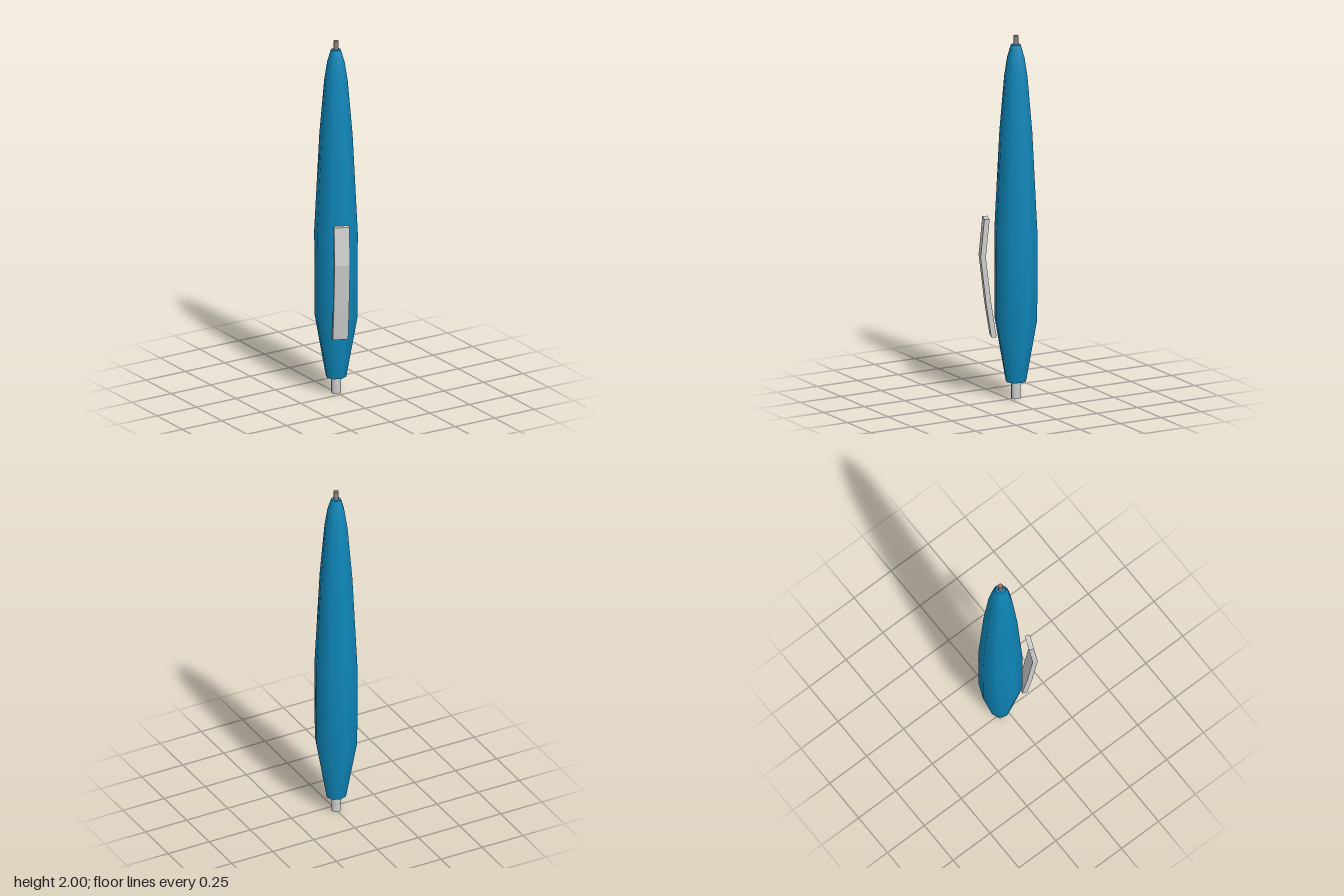
import * as THREE from 'three';

const material = (name, color) => {
  const m = new THREE.MeshStandardMaterial({ color });
  m.name = name;
  return m;
};

export function createModel() {
  const blue = material('blue plastic', 0x0e86b9);
  const lightGrey = material('light grey plastic', 0xcfcfcf);
  const darkGrey = material('dark grey metal', 0x85807c);

  const pen = new THREE.Group();
  pen.name = 'pen';
  const SIDES = 8;

  const add = (name, geometry, mat, y = 0) => {
    const mesh = new THREE.Mesh(geometry, mat);
    mesh.name = name;
    mesh.position.set(0, y, -0.04);
    pen.add(mesh);
    return mesh;
  };

  // Tapered eight-sided barrel, smooth shaded
  const profile = [
    [0.056, 0.095], [0.118, 0.44], [0.119, 0.92], [0.091, 1.47],
    [0.064, 1.78], [0.048, 1.88], [0.027, 1.95],
  ].map(([r, y]) => new THREE.Vector2(r, y));
  add('barrel', new THREE.LatheGeometry(profile, SIDES), blue);

  // Flat ends of the barrel
  const disc = (r, up) => new THREE.CircleGeometry(r, SIDES).rotateX(up ? -Math.PI / 2 : Math.PI / 2);
  add('barrelTop', disc(0.027, true), blue, 1.95);
  add('barrelBottom', disc(0.056, false), darkGrey, 0.095);

  // Push button below and writing point above
  add('button', new THREE.CylinderGeometry(0.026, 0.026, 0.1, SIDES), lightGrey, 0.05);
  add('writingPoint', new THREE.CylinderGeometry(0.0135, 0.0135, 0.06, SIDES), darkGrey, 1.97);

  // Bent clip: side outline (distance from axis, height) extruded across its width
  const outer = [[0.137, 0.35], [0.165, 0.53], [0.195, 0.79], [0.175, 1.0]];
  const inner = outer.map(([r, y]) => [r - 0.028, y]).reverse();
  const outline = new THREE.Shape([...outer, ...inner].map(([r, y]) => new THREE.Vector2(r, y)));
  const width = 0.083;
  const clipGeometry = new THREE.ExtrudeGeometry(outline, { depth: width, bevelEnabled: false });
  clipGeometry.translate(0, 0, -width / 2);
  add('clip', clipGeometry, lightGrey).rotation.y = -Math.PI * 0.625;

  return pen;
}
